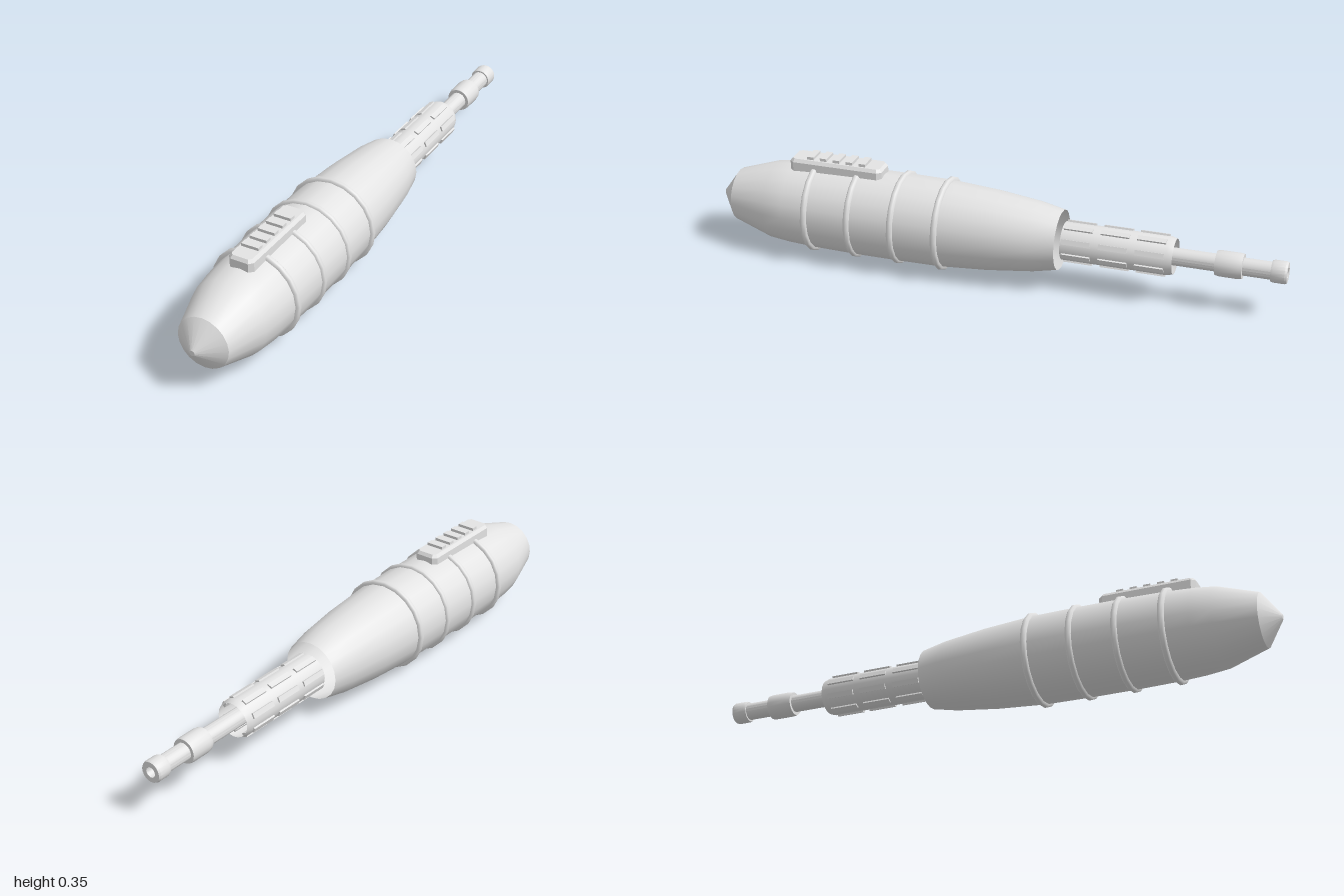
import * as THREE from 'three';
import { toCreasedNormals } from 'three/addons/utils/BufferGeometryUtils.js';

const AXIS_Y = 0.163;
const SIDES = 20;

export function createModel() {
  const model = new THREE.Group();
  model.name = 'handheldTool';
  // Double-sided because the casing and grip are open sleeves
  const metal = new THREE.MeshStandardMaterial({ color: 0xe3e3e3, side: THREE.DoubleSide });
  metal.name = 'light grey';

  function add(name, geometry, parent = model) {
    const mesh = new THREE.Mesh(geometry, metal);
    mesh.name = name;
    parent.add(mesh);
    return mesh;
  }

  // Turned part: [radius, z] pairs from back to front, around the long axis
  function turned(name, profile, crease = 0.5) {
    const points = profile.map(([r, z]) => new THREE.Vector2(r, z));
    const geometry = new THREE.LatheGeometry(points, SIDES).rotateX(Math.PI / 2);
    const mesh = add(name, toCreasedNormals(geometry, crease));
    mesh.position.y = AXIS_Y;
    return mesh;
  }

  // Main casing, open at the back, with pointed nose
  turned('casing', [
    [0.103, -0.237], [0.121, -0.15], [0.139, 0], [0.151, 0.17],
    [0.153, 0.32], [0.153, 0.48], [0.15, 0.64], [0.145, 0.73], [0.137, 0.8], [0.092, 0.94],
  ]);
  turned('nose', [[0.092, 0.94], [0.009, 1], [0, 1]]);

  // Rounded bands round the casing
  for (const z of [0.168, 0.325, 0.482, 0.64]) {
    turned('band', [
      [0.147, z - 0.011], [0.157, z - 0.01], [0.162, z - 0.005],
      [0.162, z + 0.005], [0.157, z + 0.01], [0.147, z + 0.011],
    ], 1);
  }

  // Open grip sleeve with three rows of raised ribs
  turned('grip', [[0.06, -0.627], [0.066, -0.607], [0.066, -0.247]]);
  const ribs = new THREE.Group();
  ribs.name = 'gripRibs';
  ribs.position.y = AXIS_Y;
  model.add(ribs);
  for (let i = 0; i < 8; i++) {
    const angle = (i + 0.5) * Math.PI / 4;
    for (const z of [-0.302, -0.428, -0.552]) {
      const rib = add('gripRib', new THREE.BoxGeometry(0.018, 0.014, 0.098), ribs);
      rib.position.set(Math.sin(angle) * 0.064, Math.cos(angle) * 0.064, z);
      rib.rotation.z = -angle;
    }
  }

  // Stepped shaft, collar and hollow tip
  turned('shaft', [[0.03, -0.95], [0.03, -0.26], [0, -0.26]]);
  turned('collar', [
    [0.028, -0.854], [0.042, -0.854], [0.044, -0.842], [0.044, -0.78], [0.041, -0.764], [0.028, -0.764],
  ]);
  turned('tip', [
    [0, -0.96], [0.018, -0.96], [0.018, -1], [0.035, -1], [0.038, -0.993],
    [0.038, -0.955], [0.035, -0.947], [0.028, -0.947],
  ]);

  // Bevelled switch plate on top, with clipped corners
  const corners = [
    [-0.037, -0.15], [-0.028, -0.16], [0.028, -0.16], [0.037, -0.15],
    [0.037, 0.15], [0.028, 0.16], [-0.028, 0.16], [-0.037, 0.15],
  ];
  const outline = new THREE.Shape(corners.map(([x, y]) => new THREE.Vector2(x, y)));
  const plate = new THREE.ExtrudeGeometry(outline, {
    depth: 0.033, bevelEnabled: true, bevelThickness: 0.011, bevelSize: 0.008, bevelSegments: 1,
  }).rotateX(-Math.PI / 2);
  add('switchPlate', plate).position.set(0, 0.301, 0.562);

  // Thumb ridges
  for (let i = 0; i < 5; i++) {
    const ridge = add('switchRidge', new THREE.BoxGeometry(0.062, 0.018, 0.024));
    ridge.position.set(0, 0.346, 0.466 + i * 0.0475);
  }
  return model;
}
